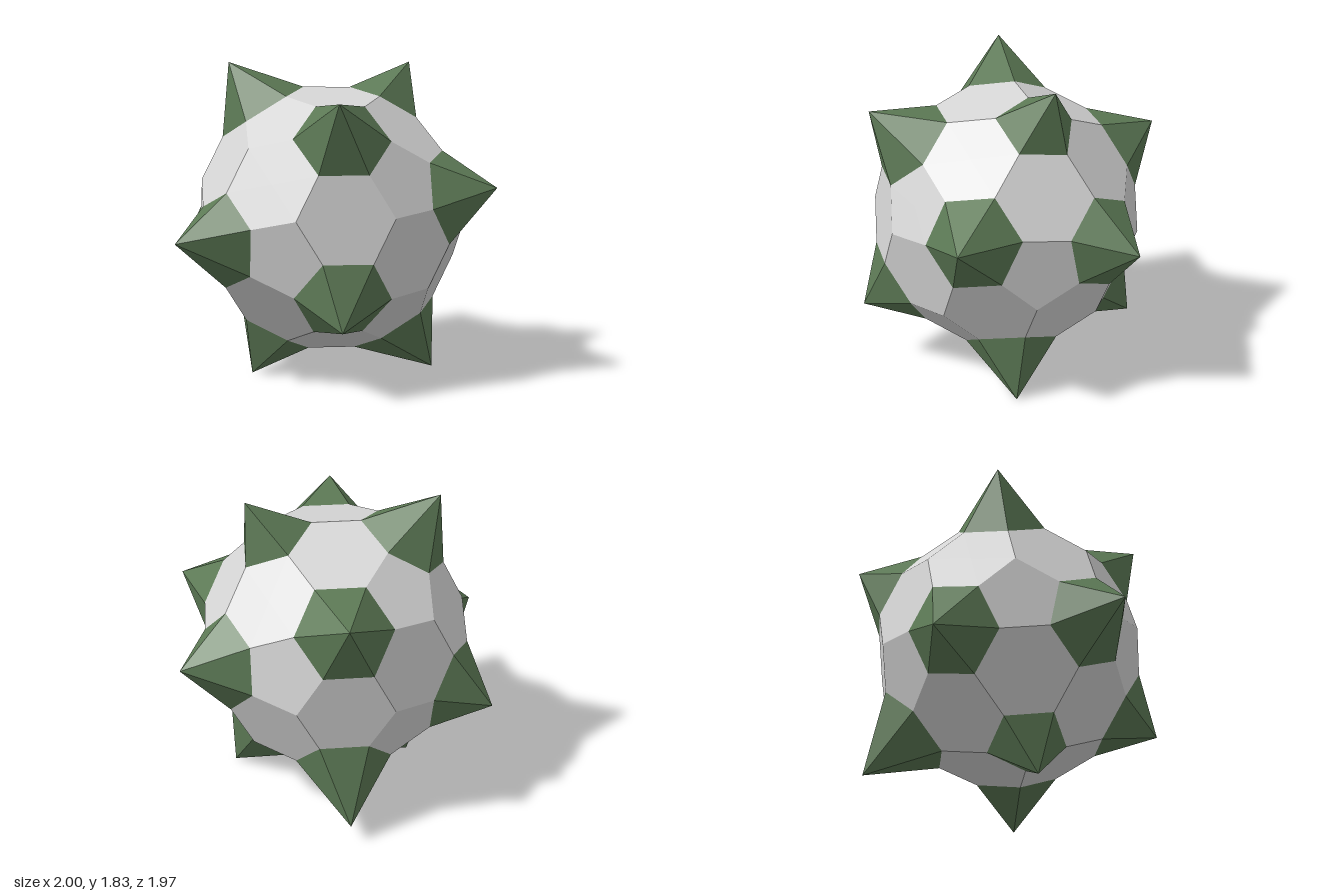
import * as THREE from 'three';

const CENTER = new THREE.Vector3(0.02, 0.907, -0.022);
const EDGE = 0.27;
const RADIUS = 0.79;
const PENT_DIST = Math.sqrt(RADIUS ** 2 - (0.851 * EDGE) ** 2);
const HEX_DIST = Math.sqrt(RADIUS ** 2 - EDGE ** 2);

// Spike tips, upper half then lower half
const TIPS = [
  [0.46, 1.83, 0.26], [-0.29, 1.83, -0.53], [-0.59, 1.62, 0.476],
  [0.25, 1.13, 0.98], [1, 1, 0.3], [0.69, 1.41, -0.63],
  [-0.39, 0, -0.29], [0.36, 0, 0.5], [0.61, 0.115, -0.59],
  [-0.22, 0.66, -0.985], [-1, 0.85, -0.335], [-0.65, 0.4, 0.54],
];

// Tilted five-fold axis of the ball and its two cross directions
const AXIS = new THREE.Vector3(0.385, 0.885, 0.266).normalize();
const U = new THREE.Vector3(-0.562, 0.451, -0.693).projectOnPlane(AXIS).normalize();
const V = new THREE.Vector3().crossVectors(AXIS, U);

function direction(polar, azimuth) {
  const t = THREE.MathUtils.degToRad(polar), a = THREE.MathUtils.degToRad(azimuth);
  return new THREE.Vector3()
    .addScaledVector(AXIS, Math.cos(t))
    .addScaledVector(U, Math.sin(t) * Math.cos(a))
    .addScaledVector(V, Math.sin(t) * Math.sin(a));
}

// The 42 face planes: two mirrored caps and a belt of ten hexagons
function makePlanes() {
  const planes = [];
  const addPair = (n, d) => planes.push({ n, d }, { n: n.clone().negate(), d });
  addPair(direction(0, 0), PENT_DIST);
  for (let i = 0; i < 5; i++) {
    addPair(direction(31.75, 36 + 72 * i), HEX_DIST);
    addPair(direction(58.3, 72 * i), HEX_DIST);
    addPair(direction(63.5, 36 + 72 * i), PENT_DIST);
    addPair(direction(90, 18 + 36 * i), HEX_DIST);
  }
  return planes;
}

// Cut a large square on one plane down to its face by all other planes
function facePolygon(face, planes) {
  const a = new THREE.Vector3(0.3, 0.5, 0.8).cross(face.n).normalize();
  const b = new THREE.Vector3().crossVectors(face.n, a);
  let poly = [[-1, -1], [1, -1], [1, 1], [-1, 1]].map(([s, t]) =>
    face.n.clone().multiplyScalar(face.d).addScaledVector(a, s).addScaledVector(b, t));
  for (const cut of planes) {
    if (cut === face) continue;
    const next = [];
    poly.forEach((p, i) => {
      const q = poly[(i + 1) % poly.length];
      const dp = cut.n.dot(p) - cut.d, dq = cut.n.dot(q) - cut.d;
      if (dp <= 0) next.push(p);
      if (dp * dq < 0) next.push(p.clone().lerp(q, dp / (dp - dq)));
    });
    poly = next;
  }
  return poly.map((p) => p.add(CENTER));
}

// Triangles from a point to every edge of a polygon
function fan(apex, poly) {
  return poly.flatMap((p, i) => [apex, p, poly[(i + 1) % poly.length]]);
}

function flatMesh(points, material, name) {
  const geometry = new THREE.BufferGeometry().setFromPoints(points);
  geometry.computeVertexNormals();
  const mesh = new THREE.Mesh(geometry, material);
  mesh.name = name;
  return mesh;
}

export function createModel() {
  const group = new THREE.Group();
  group.name = 'spikedBall';
  const grey = new THREE.MeshStandardMaterial({ color: 0xd6d6d6, flatShading: true });
  grey.name = 'light grey';
  const green = new THREE.MeshStandardMaterial({ color: 0x5c7955, flatShading: true });
  green.name = 'moss green';

  const planes = makePlanes();

  // Match every tip with the face it stands over
  for (const xyz of TIPS) {
    const tip = new THREE.Vector3(...xyz);
    const out = tip.clone().sub(CENTER);
    const face = planes.reduce((best, p) => (p.n.dot(out) > best.n.dot(out) ? p : best));
    face.tip = tip;
  }

  // Grey panels form the body, spiked faces become pyramids
  const bodyPoints = [];
  for (const face of planes) {
    const poly = facePolygon(face, planes);
    if (face.tip) {
      group.add(flatMesh(fan(face.tip, poly), green, 'spike'));
    } else {
      const middle = face.n.clone().multiplyScalar(face.d).add(CENTER);
      bodyPoints.push(...fan(middle, poly));
    }
  }
  group.add(flatMesh(bodyPoints, grey, 'body'));
  return group;
}
